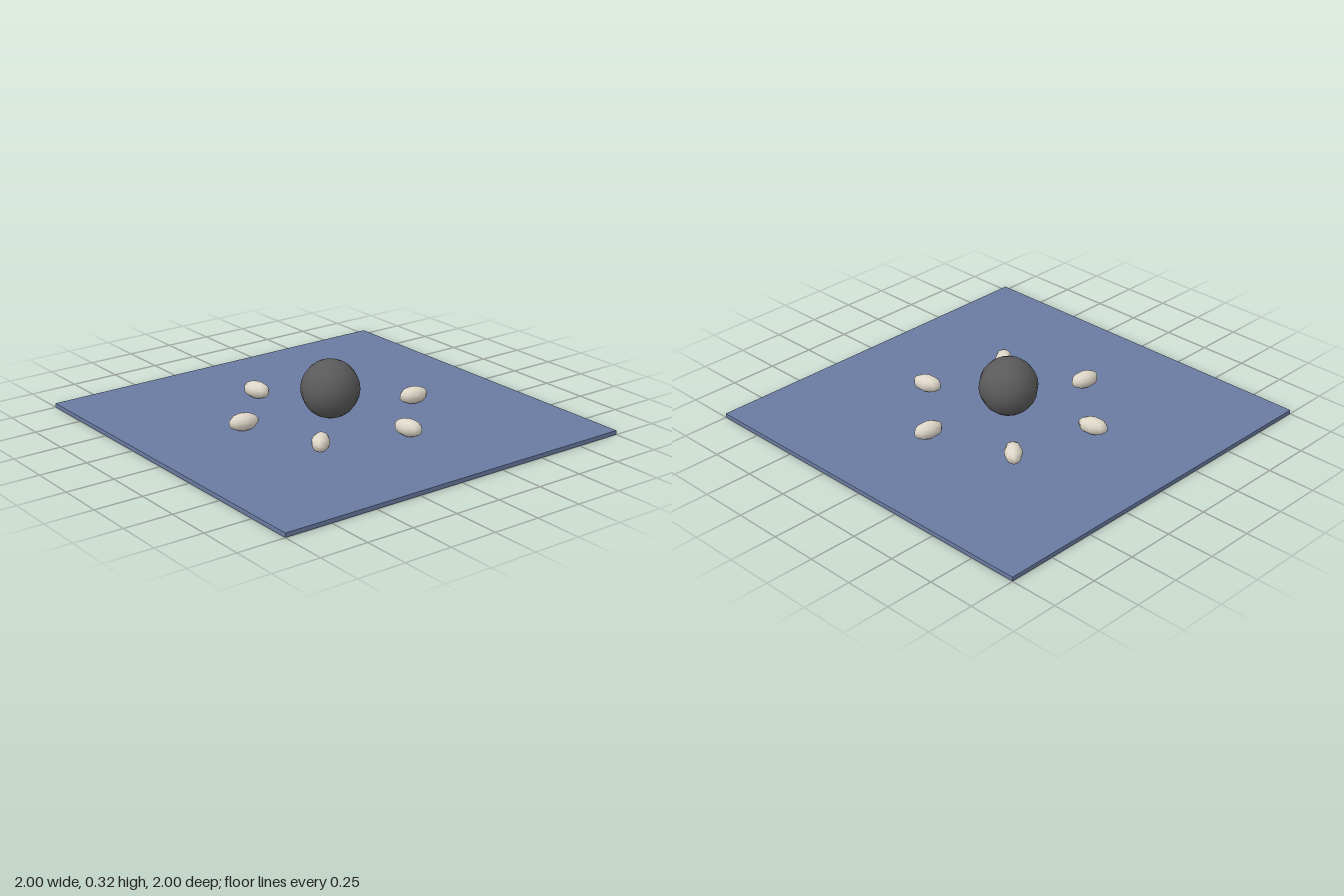
import * as THREE from 'three';

export function createModel() {
  const model = new THREE.Group();
  const slabTop = 0.022;

  const add = (name, geometry, color, x, y, z) => {
    const mesh = new THREE.Mesh(geometry, new THREE.MeshStandardMaterial({ color }));
    mesh.name = name;
    mesh.position.set(x, y, z);
    model.add(mesh);
    return mesh;
  };

  // thin square ground slab
  add('slab', new THREE.BoxGeometry(2, slabTop, 2), 0x6a7ba2, 0, slabTop / 2, 0);

  // dark ball resting in the middle
  add('ball', new THREE.SphereGeometry(0.15, 14, 12), 0x5a5a5a, 0, slabTop + 0.15, 0);

  // ring of six pale pebbles, each pointing outward
  const pebble = new THREE.SphereGeometry(1, 8, 7).scale(0.08, 0.045, 0.046);
  for (let i = 0; i < 6; i++) {
    const a = 0.3 + (i * Math.PI) / 3;
    const mesh = add('pebble' + (i + 1), pebble, 0xddd6c8,
      0.465 * Math.cos(a), slabTop + 0.046, -0.465 * Math.sin(a));
    mesh.rotation.y = a;
  }

  return model;
}
